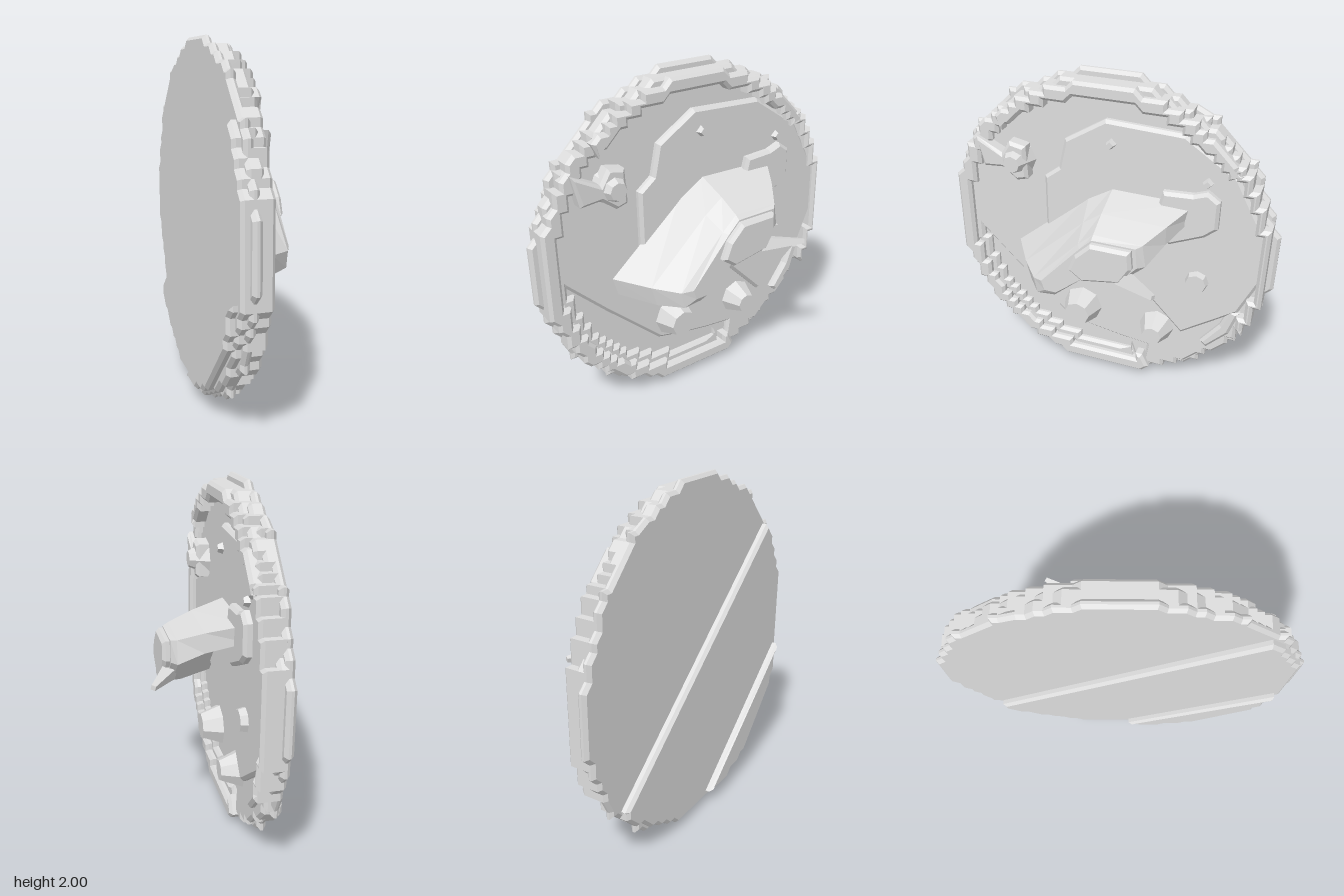
import * as THREE from 'three';

const STEP = 2 / 46; // block size that gives the stepped edges
const snap = (v) => Math.round(v / STEP) * STEP;

// Arc of points [z, y] around the disc centre
function arc(r, from = 0, to = Math.PI * 2, n = 120) {
  const pts = [];
  for (let i = 0; i <= n; i++) {
    const t = from + ((to - from) * i) / n;
    pts.push([r * Math.cos(t), 1 + r * Math.sin(t)]);
  }
  return pts;
}

// Snap an outline to the block grid and drop repeated points
function blocky(pts) {
  const out = [];
  for (const [z, y] of pts) {
    const p = [snap(z), 1 + snap(y - 1)];
    const q = out[out.length - 1];
    if (!q || Math.hypot(p[0] - q[0], p[1] - q[1]) > 0.001) out.push(p);
  }
  const a = out[0], b = out[out.length - 1];
  if (Math.hypot(a[0] - b[0], a[1] - b[1]) < 0.001) out.pop();
  return out;
}

// Keep the part of an outline below the line y = 1 + 0.8 z - c
function clipBelow(pts, c) {
  const d = ([z, y]) => 1 + 0.8 * z - c - y;
  const out = [];
  pts.forEach((p, i) => {
    const q = pts[(i + 1) % pts.length];
    const dp = d(p), dq = d(q);
    if (dp >= 0) out.push(p);
    if (dp * dq < 0) {
      const t = dp / (dp - dq);
      out.push([p[0] + t * (q[0] - p[0]), p[1] + t * (q[1] - p[1])]);
    }
  });
  return out;
}

// Chamfered slab with a [z, y] outline, from x0 to x1
function slab(pts, x0, x1, bevel = 0.018) {
  const shape = new THREE.Shape(pts.map(([z, y]) => new THREE.Vector2(-z, y)));
  const geo = new THREE.ExtrudeGeometry(shape, {
    depth: x1 - x0 - 2 * bevel, bevelEnabled: true, bevelSegments: 1,
    bevelThickness: bevel, bevelSize: bevel, bevelOffset: -bevel,
  });
  return geo.translate(0, 0, x0 + bevel).rotateY(Math.PI / 2);
}

// Solid through matching [z, y] outlines at rising x, closed at the far end
function loft(rings) {
  const n = rings[0].pts.length;
  const pos = rings.flatMap(({ x, pts }) => pts.flatMap(([z, y]) => [x, y, z]));
  const index = [];
  for (let r = 0; r < rings.length - 1; r++) {
    for (let k = 0; k < n; k++) {
      const a = r * n + k, b = r * n + ((k + 1) % n);
      index.push(a, b, b + n, a, b + n, a + n);
    }
  }
  const last = rings[rings.length - 1].pts.map(([z, y]) => new THREE.Vector2(-z, y));
  for (const f of THREE.ShapeUtils.triangulateShape(last, [])) {
    index.push(...f.map((k) => k + (rings.length - 1) * n));
  }
  const geo = new THREE.BufferGeometry();
  geo.setAttribute('position', new THREE.Float32BufferAttribute(pos, 3));
  geo.setIndex(index);
  const flat = geo.toNonIndexed();
  flat.computeVertexNormals();
  return flat;
}

export function createModel() {
  const model = new THREE.Group();
  const stone = new THREE.MeshStandardMaterial({ color: 0xdddddd, flatShading: true });
  stone.name = 'light grey stone';
  const add = (name, geo) => {
    const mesh = new THREE.Mesh(geo, stone);
    mesh.name = name;
    model.add(mesh);
    return mesh;
  };

  // Disc, stepped on both faces because it leans slightly
  add('disc', slab(blocky(arc(1)), -0.255, -0.205));
  add('backStepLow', slab(clipBelow(blocky(arc(0.93)), 0.96), -0.34, -0.25));
  add('backStepMiddle', slab(clipBelow(blocky(arc(0.975)), 0), -0.298, -0.215));
  add('floor', slab([...blocky(arc(0.975, -1.85, -Math.PI * 2 + 0.05)),
    [0.84, 0.9], [0.6, 0.66], [0.25, 0.33], [0.08, 0.29], [-0.1, 0.26], [-0.28, 0.24],
  ], -0.25, -0.17));
  add('plateau', slab([
    [0.37, 0.9], [0.37, 1.35], [0.28, 1.42], [0.24, 1.6], [0, 1.75], [-0.45, 1.73], [-0.75, 1.53],
    [-0.93, 1.2], [-0.93, 0.9], [-0.83, 0.67], [-0.5, 0.43], [-0.18, 0.76], [0.11, 0.75],
  ], -0.22, -0.13));

  // Raised rim, open at the lower rear and narrow at the rear
  const ring = (ri, ro, from, to) =>
    blocky([...arc(ro, from, to), ...arc(ri, from, to).reverse()]);
  add('rim', slab(ring(0.88, 0.975, -1.88, 2.5), -0.24, -0.13));
  add('rimInnerStep', slab(ring(0.82, 0.92, -1.8, 0.3), -0.24, -0.17));
  add('rimCrest', slab(ring(0.87, 0.955, 0.8, 2.5), -0.2, -0.09));
  add('rimRear', slab(ring(0.915, 0.975, 2.45, 3.63), -0.24, -0.1));
  add('rimRidge', slab([[-0.78, 0.68], [-0.73, 0.55], [-0.62, 0.4], [-0.66, 0.36],
    [-0.79, 0.5], [-0.84, 0.66]], -0.22, -0.13));

  // Hull leaning out from the disc, its underside overhanging the face
  add('hull', loft([
    { x: -0.15, pts: [[0.56, 0.87], [0.53, 0.76], [0.36, 0.75], [0.04, 1.08], [-0.22, 1.18],
      [-0.52, 1.24], [-0.54, 1.34], [-0.05, 1.35], [0.1, 1.26]] },
    { x: 0.05, pts: [[0.43, 0.86], [0.4, 0.74], [0.26, 0.74], [0, 1.0], [-0.24, 1.07],
      [-0.42, 1.16], [-0.42, 1.27], [-0.05, 1.28], [0.06, 1.2]] },
    { x: 0.18, pts: [[0.32, 0.85], [0.3, 0.75], [0.19, 0.76], [0, 0.93], [-0.24, 0.98],
      [-0.35, 1.08], [-0.33, 1.21], [-0.05, 1.22], [0.04, 1.14]] },
    { x: 0.21, pts: [[0.26, 0.86], [0.24, 0.8], [0.17, 0.8], [0, 0.94], [-0.23, 0.99],
      [-0.31, 1.08], [-0.3, 1.2], [-0.05, 1.2], [0.02, 1.13]] },
  ]));
  add('deck', slab([[0.08, 1.0], [0, 0.94], [-0.23, 0.98], [-0.29, 1.08],
    [-0.28, 1.19], [-0.05, 1.19], [0.04, 1.1]], 0.15, 0.25));

  // Low tail behind the hull
  add('tail', slab([[-0.35, 1.4], [-0.52, 1.41], [-0.6, 1.44], [-0.67, 1.39], [-0.67, 1.22],
    [-0.6, 1.16], [-0.4, 1.07], [-0.3, 1.2]], -0.18, -0.085));

  // Spike pointing out and back
  const from = new THREE.Vector3(0.2, 1.0, -0.22), to = new THREE.Vector3(0.325, 1.0, -0.44);
  const dir = to.clone().sub(from);
  const spike = add('spike', new THREE.CylinderGeometry(0.018, 0.055, dir.length(), 4));
  spike.position.copy(from).add(to).multiplyScalar(0.5);
  spike.quaternion.setFromUnitVectors(new THREE.Vector3(0, 1, 0), dir.normalize());

  // Bumps on the face: z, y, base radius, top radius, height of top, sides
  const bumps = [
    [0.15, 0.46, 0.145, 0.08, -0.05, 8], [-0.34, 0.42, 0.13, 0.06, -0.05, 8],
    [-0.575, 0.84, 0.09, 0.06, -0.09, 8], [-0.04, 1.62, 0.07, 0.02, -0.1, 4],
    [-0.59, 1.48, 0.07, 0.02, -0.1, 4], [0.54, 1.43, 0.13, 0.05, -0.05, 8],
  ];
  for (const [z, y, r0, r1, top, sides] of bumps) {
    const h = top + 0.22;
    const geo = new THREE.CylinderGeometry(r1, r0, h, sides);
    geo.rotateZ(-Math.PI / 2).translate(top - h / 2, y, z);
    add('bump', geo);
  }

  // Lump joined to the rim at the upper front
  add('rimLump', slab([[0.78, 1.55], [0.62, 1.47], [0.57, 1.55], [0.47, 1.53], [0.46, 1.33],
    [0.53, 1.31], [0.62, 1.38], [0.74, 1.37]], -0.2, -0.09));
  return model;
}
